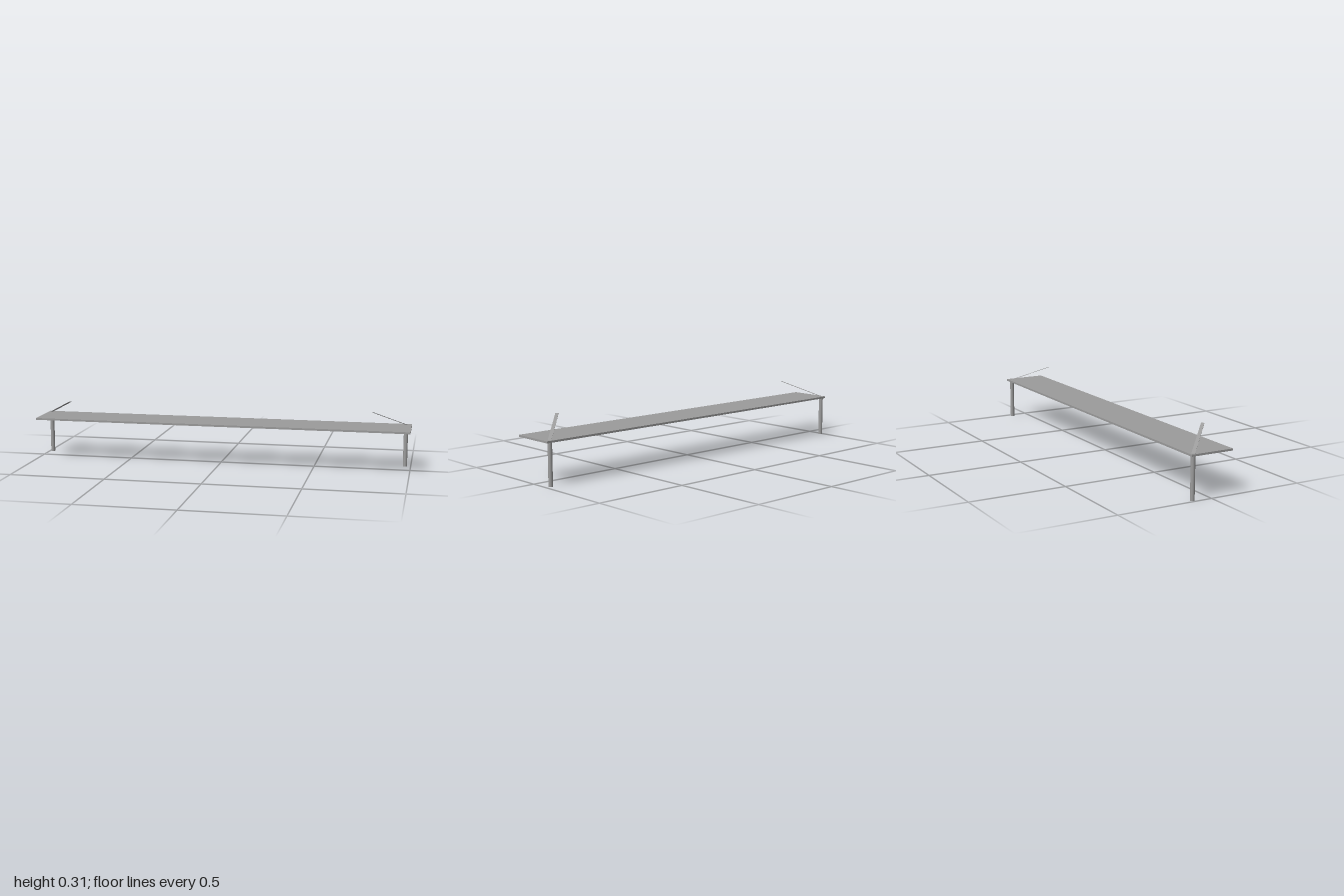
import * as THREE from 'three';

export function createModel() {
  const group = new THREE.Group();
  const material = new THREE.MeshStandardMaterial({ color: 0x9c9c9c });
  const add = (name, geometry) => {
    const mesh = new THREE.Mesh(geometry, material);
    mesh.name = name;
    group.add(mesh);
    return mesh;
  };

  // Long flat board
  const bottom = 0.214, thickness = 0.01;
  add('board', new THREE.BoxGeometry(2, thickness, 0.228)).position.y = bottom + thickness / 2;

  // Two back posts, each with a thin flat strip rising diagonally inward above it
  const postZ = -0.0955, radius = 0.011;
  for (const [side, postX] of [['right', -0.983], ['left', 0.97]]) {
    add(side + 'Post', new THREE.CylinderGeometry(radius, radius, bottom, 16))
      .position.set(postX, bottom / 2, postZ);

    const inward = -Math.sign(postX);
    const start = new THREE.Vector3(postX - inward * 0.008, 0.22, postZ - 0.007);
    const end = new THREE.Vector3(postX + inward * 0.166, 0.3125, postZ + 0.164);
    const strip = add(side + 'Strip', new THREE.BoxGeometry(0.017, 0.0015, start.distanceTo(end)));
    strip.position.lerpVectors(start, end, 0.5);
    strip.lookAt(end);
  }
  return group;
}
